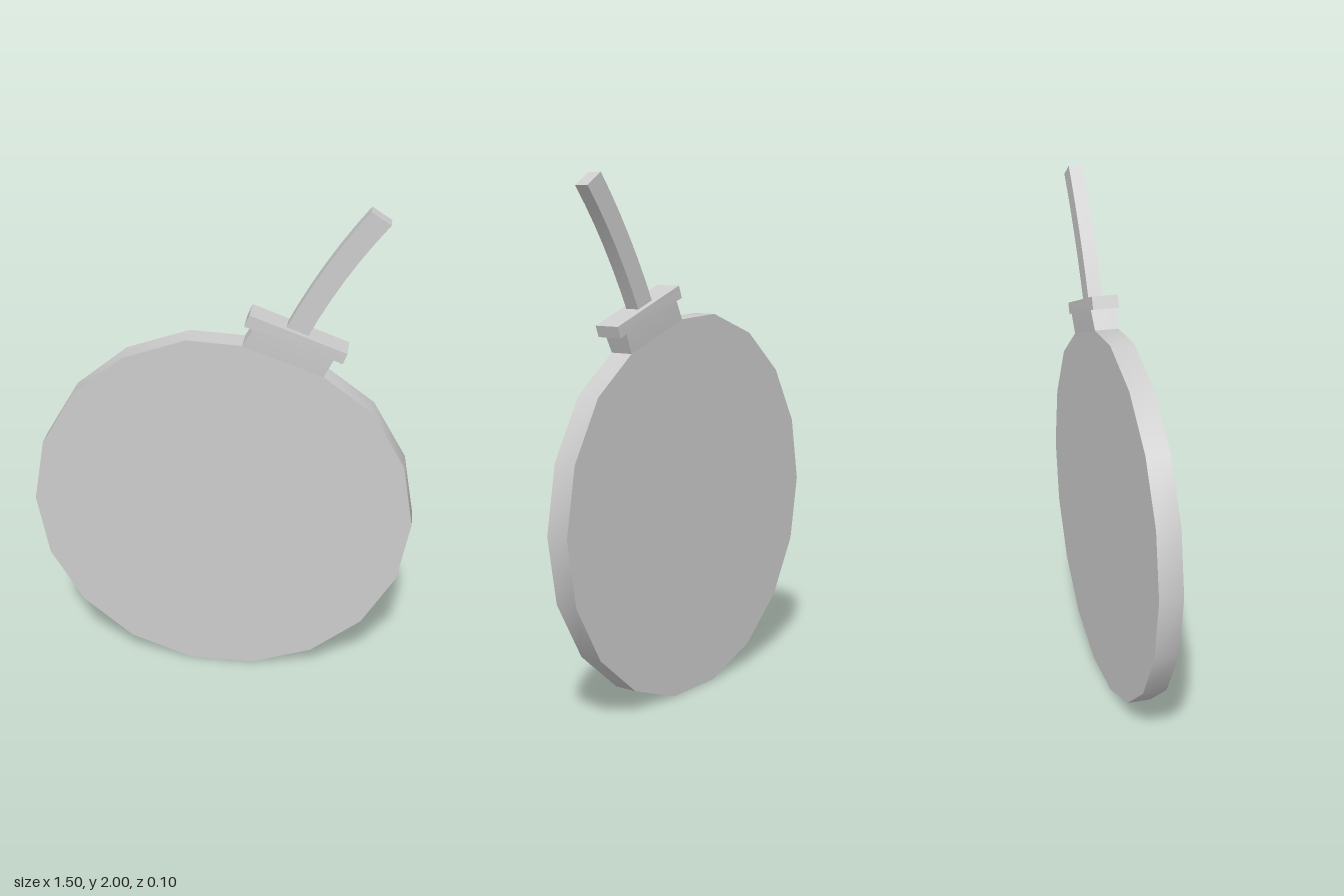
import * as THREE from 'three';
import { toCreasedNormals } from 'three/addons/utils/BufferGeometryUtils.js';

const material = new THREE.MeshStandardMaterial({ color: 0xcccccc });

// Flat plate cut from a front outline, centred on z = 0
function plate(name, shape, halfDepth, curveSegments = 1) {
  const geometry = new THREE.ExtrudeGeometry(shape, { depth: halfDepth * 2, bevelEnabled: false, curveSegments });
  geometry.translate(0, 0, -halfDepth);
  const mesh = new THREE.Mesh(toCreasedNormals(geometry, 0.45), material);
  mesh.name = name;
  return mesh;
}

const outline = (points) => new THREE.Shape(points.map(([x, y]) => new THREE.Vector2(x, y)));

export function createModel() {
  const group = new THREE.Group();
  group.name = 'flatBomb';

  const halfDepth = 0.046;
  const neckRight = [0.384, 1.357];
  const neckLeft = [0.08, 1.465];

  // Body: 18-sided disc, with the corners at 60 and 80 degrees replaced by the neck base
  const radius = 0.748;
  const corners = [];
  for (let i = 0; i < 18; i++) {
    const a = (i * Math.PI) / 9;
    if (i === 3) corners.push(neckRight);
    else if (i === 4) corners.push(neckLeft);
    else corners.push([radius * Math.cos(a), 0.737 + radius * Math.sin(a)]);
  }
  group.add(plate('body', outline(corners), halfDepth));

  // Tilted neck with a flanged lip, thickening slightly away from the body
  const neck = plate('neckAndLip', outline([
    neckRight, [0.418, 1.431], [0.452, 1.418], [0.468, 1.46],
    [0.106, 1.592], [0.087, 1.545], [0.12, 1.535], neckLeft,
  ]), halfDepth);
  const p = neck.geometry.attributes.position;
  for (let i = 0; i < p.count; i++) {
    const along = p.getX(i) * 0.342 + p.getY(i) * 0.94;
    const t = THREE.MathUtils.clamp((along - 1.405) / 0.08, 0, 1);
    p.setZ(i, Math.sign(p.getZ(i)) * (halfDepth + 0.005 * t));
  }
  neck.geometry = toCreasedNormals(neck.geometry, 0.45);
  group.add(neck);

  // Curved fuse, rooted just inside the lip
  const fuse = new THREE.Shape();
  fuse.moveTo(0.312, 1.495);
  fuse.quadraticCurveTo(0.437, 1.755, 0.598, 1.954);
  fuse.lineTo(0.526, 2);
  fuse.quadraticCurveTo(0.361, 1.79, 0.232, 1.525);
  group.add(plate('fuse', fuse, 0.028, 6));

  return group;
}
